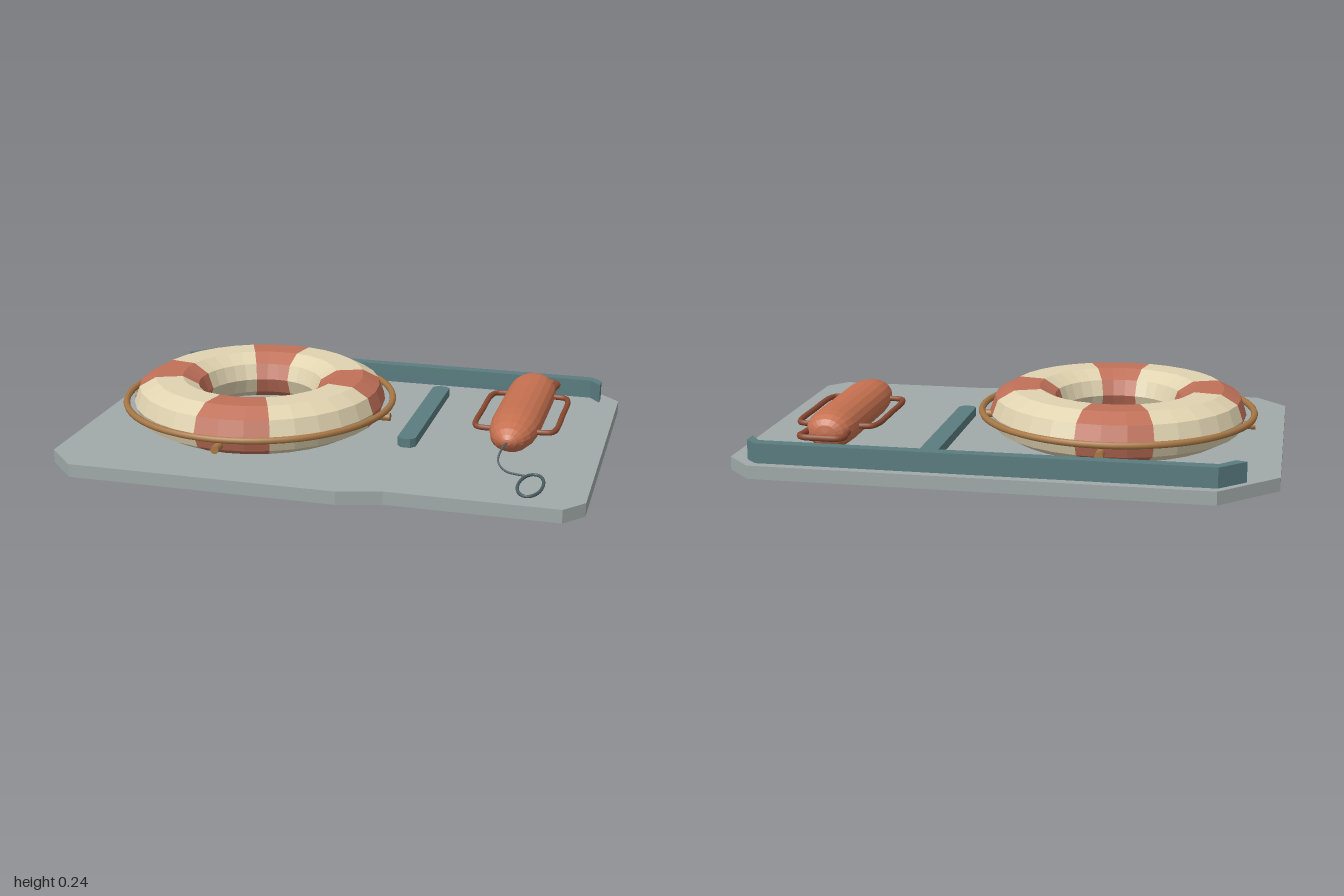
import * as THREE from 'three';

const mat = (color, flatShading = true, side = THREE.FrontSide) =>
  new THREE.MeshStandardMaterial({ color, flatShading, side });
const deckMat = mat(0xa0aaa8), railMat = mat(0x5a7c80), creamMat = mat(0xe0d3b0), redMat = mat(0xbf7058);
const ropeMat = mat(0xa87846, false), floatMat = mat(0xc67150), gripMat = mat(0x8c4a32, false), cordMat = mat(0x4c6064, false);

function add(parent, name, geometry, material) {
  const mesh = new THREE.Mesh(geometry, material);
  mesh.name = name;
  parent.add(mesh);
  return mesh;
}

// Upright slab from an outline of [x, z] corners
function slab(outline, y0, y1) {
  const shape = new THREE.Shape(outline.map(([x, z]) => new THREE.Vector2(x, -z)));
  return new THREE.ExtrudeGeometry(shape, { depth: y1 - y0, bevelEnabled: false })
    .rotateX(-Math.PI / 2).translate(0, y0, 0);
}

function tube(points, radius, segments = 48, sides = 8) {
  const curve = new THREE.CatmullRomCurve3(points.map(p => new THREE.Vector3(...p)));
  return new THREE.TubeGeometry(curve, segments, radius, sides);
}

function createRingBuoy() {
  const ring = new THREE.Group();
  ring.name = 'ringBuoy';
  ring.position.set(-0.36, 0.145, 0.007);

  // Closed cross-section, swept in alternating cream and red bands
  const profile = [[0.497, 0], [0.475, 0.06], [0.41, 0.095], [0.305, 0.095], [0.243, 0.06], [0.22, 0],
    [0.243, -0.06], [0.305, -0.095], [0.41, -0.095], [0.475, -0.06], [0.497, 0]]
    .map(([r, y]) => new THREE.Vector2(r, y));
  const step = Math.PI / 16;
  for (let i = 0; i < 4; i++) {
    const start = Math.PI / 2 * (i + 1) - step;
    add(ring, 'redBand', new THREE.LatheGeometry(profile, 3, start, 3 * step), redMat);
    add(ring, 'creamBand', new THREE.LatheGeometry(profile, 5, start + 3 * step, 5 * step), creamMat);
  }

  // Grab rope and the four pegs below it
  add(ring, 'grabRope', new THREE.TorusGeometry(0.528, 0.013, 8, 64).rotateX(Math.PI / 2), ropeMat);
  for (let i = 0; i < 4; i++) {
    const peg = new THREE.CylinderGeometry(0.016, 0.016, 0.09, 12).rotateX(Math.PI / 2)
      .translate(0, -0.04, 0.488).rotateY(i * Math.PI / 2);
    add(ring, 'ropePeg', peg, ropeMat);
  }
  return ring;
}

function createRescueFloat() {
  const float = new THREE.Group();
  float.name = 'rescueFloat';
  float.position.set(0.67, 0.125, 0);

  // Oval torpedo body along z
  const profile = [[0, -0.485], [0.42, -0.48], [0.7, -0.468], [0.88, -0.445], [0.97, -0.41], [1, -0.36], [1, 0.04],
    [0.95, 0.1], [0.8, 0.165], [0.6, 0.2], [0.35, 0.222], [0.15, 0.232], [0, 0.234]]
    .map(([r, z]) => new THREE.Vector2(r, z));
  add(float, 'floatBody', new THREE.LatheGeometry(profile, 20).rotateX(Math.PI / 2).scale(0.095, 0.075, 1), floatMat);

  // Side grips
  for (const s of [-1, 1]) {
    add(float, 'sideGrip', tube([[0.08, -0.35], [0.11, -0.35], [0.14, -0.342], [0.153, -0.31], [0.156, -0.13],
      [0.153, 0.05], [0.14, 0.08], [0.11, 0.088], [0.08, 0.088]].map(([x, z]) => [s * x, 0, z]), 0.011), gripMat);
  }
  // Tail grip
  const half = [[0.05, -0.41], [0.075, -0.44], [0.08, -0.48], [0.084, -0.52], [0.065, -0.541]];
  add(float, 'tailGrip', tube([...half, [0, -0.544],
    ...half.slice().reverse().map(([x, z]) => [-x, z])].map(([x, z]) => [x, 0, z]), 0.012), gripMat);
  return float;
}

export function createModel() {
  const model = new THREE.Group();
  model.name = 'rescueEquipmentTray';

  add(model, 'deckPlate', slab([[-0.79, -0.69], [0.9, -0.69], [1, -0.59], [1, 0.555], [0.93, 0.637], [0.3, 0.637],
    [0.14, 0.682], [-0.88, 0.682], [-1, 0.555], [-1, -0.485]], 0, 0.05), deckMat);
  add(model, 'backRail', slab([[-0.79, -0.655], [0.88, -0.655], [0.925, -0.612], [0.925, -0.555], [0.88, -0.61],
    [-0.79, -0.61], [-0.845, -0.552], [-0.885, -0.565]], 0.05, 0.125), railMat);
  add(model, 'divider', slab([[0.257, -0.492], [0.293, -0.492], [0.31, -0.472], [0.31, 0.162], [0.293, 0.182],
    [0.257, 0.182], [0.24, 0.162], [0.24, -0.472]], 0.05, 0.085), railMat);

  model.add(createRingBuoy(), createRescueFloat());

  // Lanyard with its loop lying on the deck
  add(model, 'lanyard', tube([[0.67, 0.125, 0.225], [0.655, 0.11, 0.27], [0.652, 0.08, 0.315], [0.685, 0.06, 0.35],
    [0.76, 0.056, 0.372]], 0.004, 32, 6), cordMat);
  const loop = add(model, 'lanyardLoop', tube(Array.from({ length: 16 }, (_, i) => {
    const a = i / 15 * Math.PI * 2;
    return [0.793 + 0.044 * Math.cos(a), 0.056, 0.457 + 0.108 * Math.sin(a)];
  }), 0.006), cordMat);
  loop.name = 'lanyardLoop';
  return model;
}
